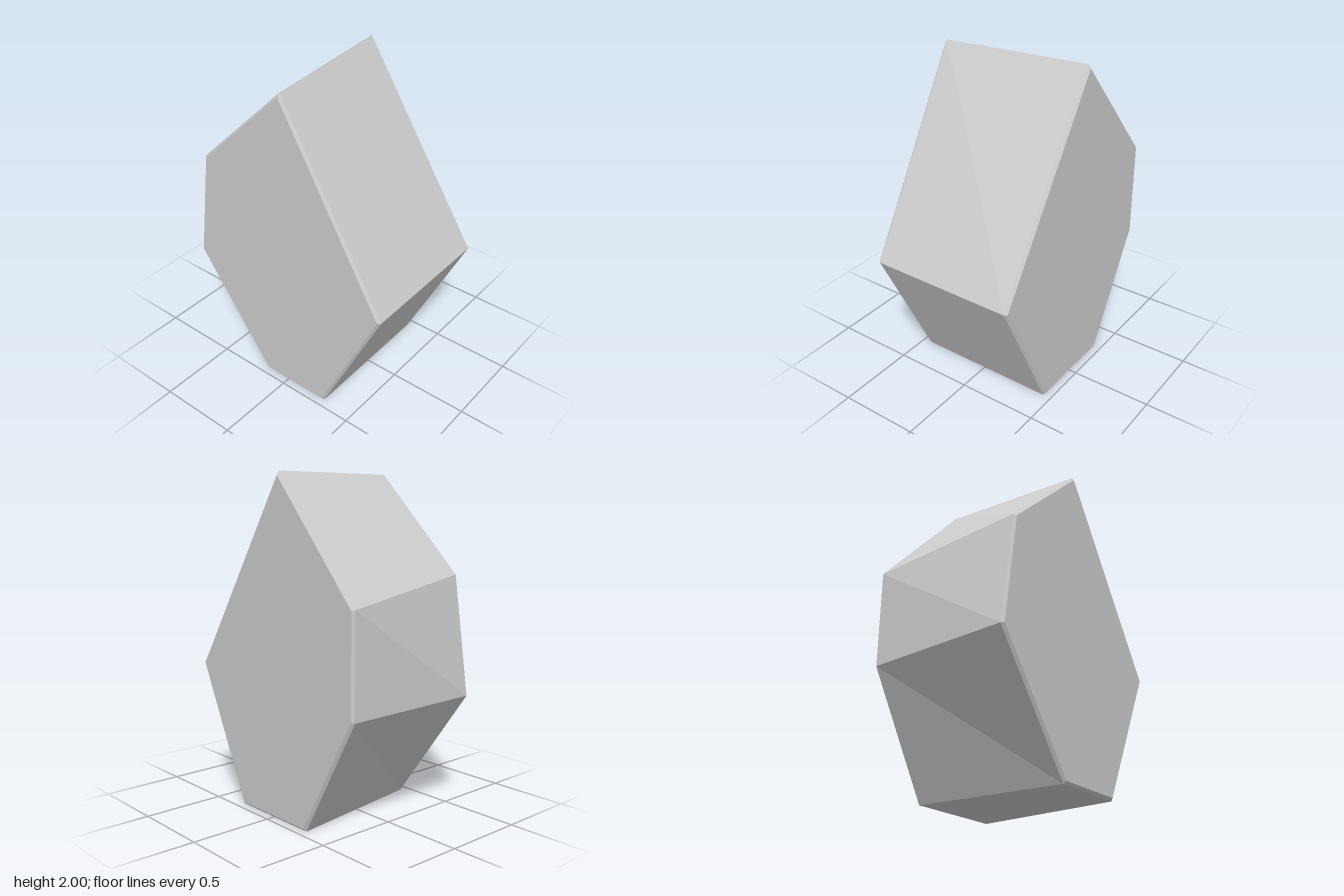
import * as THREE from 'three';

// Outlines run counter-clockwise as seen from the front
const FRONT = [[0.01, 1.99], [-0.585, 1.415], [-0.69, 0.715], [-0.17, 0], [0.29, 0], [0.69, 0.83]];
const BACK = [[-0.075, 2], [-0.69, 1.3], [-0.69, 0.71], [-0.295, 0], [0.29, 0], [0.69, 0.83]];
const HALF_DEPTH = 0.46, BEVEL = 0.015;

// Moves every edge of an outline inward by d, keeping mitred corners
function inset(outline, d) {
  const n = outline.length;
  const inward = outline.map(([x, y], i) => {
    const [u, v] = outline[(i + 1) % n];
    return new THREE.Vector2(y - v, u - x).normalize();
  });
  return outline.map(([x, y], i) => {
    const a = inward[(i + n - 1) % n], b = inward[i];
    const k = d / (1 + a.dot(b));
    return [x + (a.x + b.x) * k, y + (a.y + b.y) * k];
  });
}

// Skins a series of outlines, ordered front to back, and caps both ends
function loft(rings) {
  const n = rings[0].outline.length, last = (rings.length - 1) * n;
  const positions = rings.flatMap(({ outline, z }) => outline.flatMap(([x, y]) => [x, y, z]));
  const index = [];
  for (let r = 0; r < last; r += n) {
    for (let i = 0; i < n; i++) {
      const a = r + i, b = r + (i + 1) % n;
      index.push(a, a + n, b, b, a + n, b + n);
    }
  }
  for (let i = 1; i < n - 1; i++) {
    index.push(0, i, i + 1, last, last + i + 1, last + i);
  }
  const indexed = new THREE.BufferGeometry();
  indexed.setAttribute('position', new THREE.Float32BufferAttribute(positions, 3));
  indexed.setIndex(index);
  const geometry = indexed.toNonIndexed();
  geometry.computeVertexNormals();
  return geometry;
}

export function createModel() {
  const group = new THREE.Group();
  group.name = 'facetedStone';

  // Six-sided block with skewed sides and chamfered front and back rims
  const stone = new THREE.Mesh(
    loft([
      { outline: inset(FRONT, BEVEL), z: HALF_DEPTH },
      { outline: FRONT, z: HALF_DEPTH - BEVEL },
      { outline: BACK, z: BEVEL - HALF_DEPTH },
      { outline: inset(BACK, BEVEL), z: -HALF_DEPTH },
    ]),
    new THREE.MeshStandardMaterial({ color: 0xcccccc, flatShading: true })
  );
  stone.name = 'stoneBlock';
  group.add(stone);
  return group;
}
